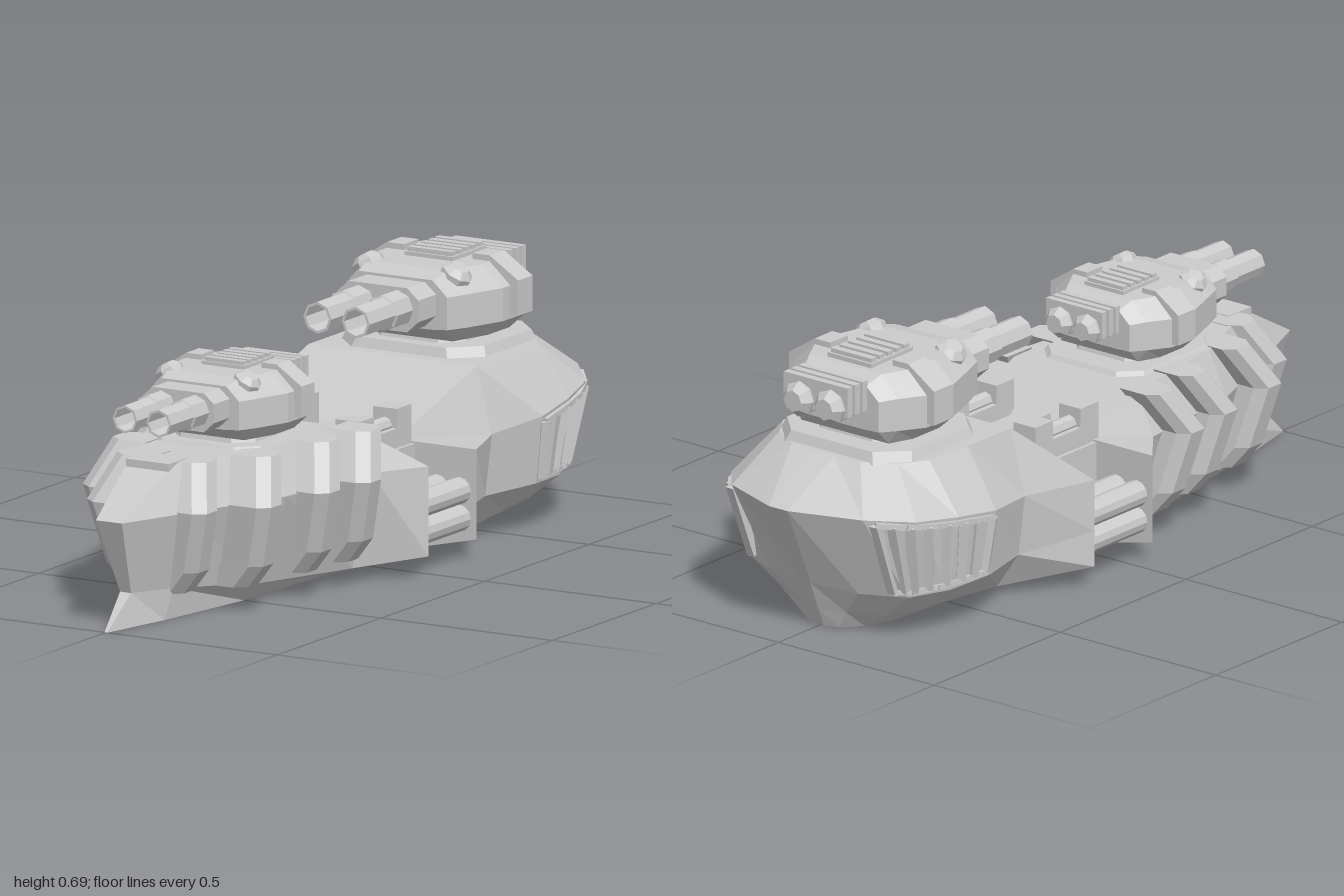
import * as THREE from 'three';

const mat = new THREE.MeshStandardMaterial({ color: 0xcccccc, flatShading: true, side: THREE.DoubleSide });

function add(parent, name, geo, x = 0, y = 0, z = 0) {
  const m = new THREE.Mesh(geo, mat);
  m.name = name;
  m.position.set(x, y, z);
  parent.add(m);
  return m;
}
const box = (w, h, d) => new THREE.BoxGeometry(w, h, d);
const rod = (r0, r1, len, n = 8) => new THREE.CylinderGeometry(r0, r1, len, n).rotateX(Math.PI / 2);

// Skin a series of closed rings (even corner count) and cap both ends with strips
function loft(rings, flip = false) {
  const pos = [];
  const tri = (a, b, c) => (flip ? pos.push(...a, ...c, ...b) : pos.push(...a, ...b, ...c));
  const n = rings[0].length;
  for (let i = 0; i < rings.length - 1; i++) {
    for (let j = 0; j < n; j++) {
      const k = (j + 1) % n, p = rings[i], q = rings[i + 1];
      tri(p[j], p[k], q[k]);
      tri(p[j], q[k], q[j]);
    }
  }
  const first = rings[0], last = rings[rings.length - 1];
  for (let j = 0; j < n / 2 - 1; j++) {
    const k = n - 1 - j;
    tri(first[j], first[k], first[k - 1]);
    tri(first[j], first[k - 1], first[j + 1]);
    tri(last[j], last[j + 1], last[k - 1]);
    tri(last[j], last[k - 1], last[k]);
  }
  const g = new THREE.BufferGeometry();
  g.setAttribute('position', new THREE.Float32BufferAttribute(pos, 3));
  g.computeVertexNormals();
  return g;
}
// Complete a right-hand half section, from keel to deck, with its mirror image
const mirror = half => [...half, ...half.map(([x, y, z]) => [-x, y, z]).reverse()];
const at = (z, pts) => mirror(pts.map(([x, y]) => [x, y, z]));

// Chamfered plate lying on a deck
function plate(wx, z0, z1, y0, y1, c) {
  const ring = (y, s) => {
    const w = wx - s, a = z0 + s, b = z1 - s;
    return [[w, y, b - c], [w, y, a + c], [w - c, y, a], [c - w, y, a],
      [-w, y, a + c], [-w, y, b - c], [c - w, y, b], [w - c, y, b]];
  };
  return loft([ring(y0, 0), ring(y1, 0.012)]);
}

function turret(name) {
  const g = new THREE.Group();
  g.name = name;
  add(g, 'turretNeck', plate(0.14, -0.1, 0.18, -0.03, 0.01, 0.05));
  add(g, 'turretBody', loft([
    at(-0.14, [[0.09, 0.038], [0.14, 0.04], [0.14, 0.12], [0.1, 0.155]]),
    at(-0.1, [[0.14, 0], [0.17, 0.04], [0.17, 0.125], [0.115, 0.178]]),
    at(-0.035, [[0.165, 0], [0.21, 0.04], [0.21, 0.125], [0.15, 0.18]]),
    at(0.07, [[0.165, 0], [0.21, 0.04], [0.21, 0.125], [0.15, 0.18]]),
    at(0.18, [[0.13, 0], [0.172, 0.04], [0.172, 0.125], [0.122, 0.18]]),
    at(0.24, [[0.1, 0.038], [0.15, 0.042], [0.15, 0.125], [0.107, 0.165]]),
  ]));
  add(g, 'gunMount', loft([0.23, 0.325].map(z =>
    at(z, [[0.085, 0.045], [0.118, 0.075], [0.118, 0.13], [0.085, 0.158]]))));
  // Roof louvres
  add(g, 'roofPlate', box(0.14, 0.012, 0.165), 0, 0.184, 0);
  for (let i = 0; i < 5; i++) add(g, 'roofSlat', box(0.13, 0.014, 0.02), 0, 0.194, -0.066 + i * 0.033);
  // Exhaust housing ribs
  for (let i = 0; i < 3; i++) add(g, 'exhaustRib', box(0.205, 0.08, 0.02), 0, 0.13, -0.147 - i * 0.03);
  for (const s of [-1, 1]) {
    // Hollow barrel with a stepped sleeve
    const profile = [[0, 0.36], [0.034, 0.36], [0.034, 0.525], [0.041, 0.525], [0.041, 0.4], [0.047, 0.397], [0.047, 0.3]]
      .map(([r, z]) => new THREE.Vector2(r, z));
    add(g, 'barrel', new THREE.LatheGeometry(profile, 8).rotateX(Math.PI / 2), s * 0.056, 0.104, 0);
    add(g, 'exhaust', rod(0.046, 0.046, 0.09), s * 0.05, 0.11, -0.18);
    add(g, 'exhaustCap', rod(0.046, 0.028, 0.022), s * 0.05, 0.11, -0.236);
    // Side pod wrapped over the shoulder
    add(g, 'sidePod', loft([-0.035, 0.035].map(z => {
      const p = [[0.15, 0.05], [0.233, 0.05], [0.233, 0.14], [0.15, 0.195], [0.1, 0.195], [0.1, 0.15]];
      return p.map(([x, y]) => [s * x, y, z]);
    }), s < 0));
    // Sighting dome, tilted outward
    const dome = new THREE.Group();
    dome.name = 'sightDome';
    dome.position.set(s * 0.122, 0.157, 0.16);
    dome.rotation.z = -s * 0.55;
    add(dome, 'domeBase', new THREE.CylinderGeometry(0.042, 0.042, 0.035, 8), 0, 0.003, 0);
    add(dome, 'domeCap', new THREE.CylinderGeometry(0.024, 0.042, 0.016, 8), 0, 0.0285, 0);
    g.add(dome);
  }
  return g;
}

export function createModel() {
  const ship = new THREE.Group();
  ship.name = 'warship';

  // Front hull, rear bulkhead to beak bow
  add(ship, 'frontHull', loft([
    at(0.04, [[0.12, 0], [0.36, 0.055], [0.36, 0.285], [0.13, 0.285]]),
    at(0.16, [[0.12, 0], [0.21, 0.03], [0.265, 0.28], [0.215, 0.39]]),
    at(0.5, [[0.1, 0], [0.15, 0.05], [0.225, 0.28], [0.17, 0.395]]),
    mirror([[0.05, 0, 0.8], [0.065, 0.08, 0.78], [0.113, 0.28, 0.8], [0.075, 0.397, 0.75]]),
    mirror([[0.004, 0, 1], [0.016, 0.085, 0.905], [0.038, 0.28, 0.985], [0.06, 0.375, 0.815]]),
  ]));
  add(ship, 'bowStep', box(0.125, 0.03, 0.09), 0, 0.385, 0.755);

  // Slanted armour ribs along the front hull
  const ribs = [[0.24, 0.335], [0.4, 0.312], [0.62, 0.275], [0.765, 0.175]];
  for (const s of [-1, 1]) for (const [z, x] of ribs) {
    const rings = [[0.065, -0.09, -0.025], [0.125, -0.04, -0.015], [0.285, 0, 0.012], [0.398, -0.045, -0.06]]
      .map(([y, dx, dz]) => [[-0.11, 0.048], [-0.03, 0.048], [0, 0.025], [0, -0.025], [-0.03, -0.048], [-0.11, -0.048]]
        .map(([a, b]) => [s * Math.max(x + dx + a, 0.02), y, z + dz + b]));
    add(ship, 'armourRib', loft(rings, s < 0));
  }

  // Rear hull with bulging side pods, stern tip to front bulkhead
  add(ship, 'rearHull', loft([
    mirror([[0.01, 0, -0.832], [0.012, 0.05, -0.855], [0.015, 0.13, -0.89], [0.03, 0.355, -1], [0.03, 0.45, -0.815]]),
    mirror([[0.05, 0, -0.82], [0.08, 0.05, -0.83], [0.14, 0.12, -0.855], [0.21, 0.35, -0.925], [0.11, 0.45, -0.81]]),
    mirror([[0.09, 0, -0.77], [0.17, 0.05, -0.78], [0.255, 0.12, -0.8], [0.297, 0.335, -0.82], [0.19, 0.45, -0.76]]),
    at(-0.69, [[0.12, 0], [0.21, 0.05], [0.3, 0.12], [0.328, 0.32], [0.235, 0.45]]),
    at(-0.55, [[0.13, 0], [0.22, 0.045], [0.315, 0.125], [0.335, 0.3], [0.245, 0.45]]),
    at(-0.38, [[0.13, 0], [0.2, 0.02], [0.27, 0.12], [0.29, 0.28], [0.245, 0.45]]),
    at(-0.19, [[0.12, 0], [0.36, 0.055], [0.36, 0.15], [0.36, 0.285], [0.13, 0.285]]),
  ]));

  // Grille slats and frame rails on each pod
  const curve = pts => new THREE.CatmullRomCurve3(pts.map(p => new THREE.Vector3(...p)));
  const top = curve([[0.333, 0.285, -0.56], [0.325, 0.305, -0.69], [0.292, 0.32, -0.815], [0.23, 0.335, -0.9]]);
  const low = curve([[0.315, 0.14, -0.57], [0.302, 0.138, -0.67], [0.267, 0.135, -0.775], [0.225, 0.135, -0.822]]);
  const beam = (name, a, b, s, w, h) => {
    const m = add(ship, name, box(w, h, a.distanceTo(b)));
    m.position.copy(a).add(b).multiplyScalar(0.5);
    m.position.x *= s;
    m.lookAt(s * b.x, b.y, b.z);
  };
  for (const s of [-1, 1]) {
    for (let i = 0; i < 8; i++) beam('grilleSlat', top.getPoint(i / 7), low.getPoint(i / 7), s, 0.024, 0.02);
    for (const c of [top, low]) for (let i = 0; i < 4; i++)
      beam('grilleRail', c.getPoint(i / 4), c.getPoint((i + 1) / 4), s, 0.02, 0.014);
  }

  // Connector between the hulls
  add(ship, 'connectorCore', box(0.36, 0.225, 0.25), 0, 0.1675, -0.07);
  add(ship, 'connectorKeel', box(0.24, 0.07, 0.24), 0, 0.035, -0.07);
  add(ship, 'connectorSpine', box(0.07, 0.05, 0.22), 0, 0.3, -0.07);
  add(ship, 'spineEnd', new THREE.CylinderGeometry(0.035, 0.035, 0.05, 12), 0, 0.3, 0.01);
  for (const s of [-1, 1]) {
    add(ship, 'connectorRail', box(0.07, 0.06, 0.25), s * 0.135, 0.3, -0.065);
    for (const z of [0.025, -0.155]) add(ship, 'connectorBlock', box(0.07, 0.1, 0.07), s * 0.135, 0.33, z);
    add(ship, 'railPipe', rod(0.022, 0.022, 0.2), s * 0.135, 0.335, -0.065);
    for (const x of [0.245, 0.31]) for (const y of [0.105, 0.175])
      add(ship, 'connectorPipe', rod(0.034, 0.034, 0.23, 12), s * x, y, -0.075);
  }

  // Deck plates and turrets
  add(ship, 'frontDeckPlate', plate(0.165, 0.2, 0.57, 0.385, 0.402, 0.05));
  add(ship, 'rearDeckPlate', plate(0.212, -0.8, -0.41, 0.445, 0.475, 0.07));
  const front = turret('frontTurret');
  front.scale.setScalar(0.88);
  front.position.set(0, 0.415, 0.365);
  const rear = turret('rearTurret');
  rear.position.set(0, 0.485, -0.635);
  ship.add(front, rear);
  return ship;
}
